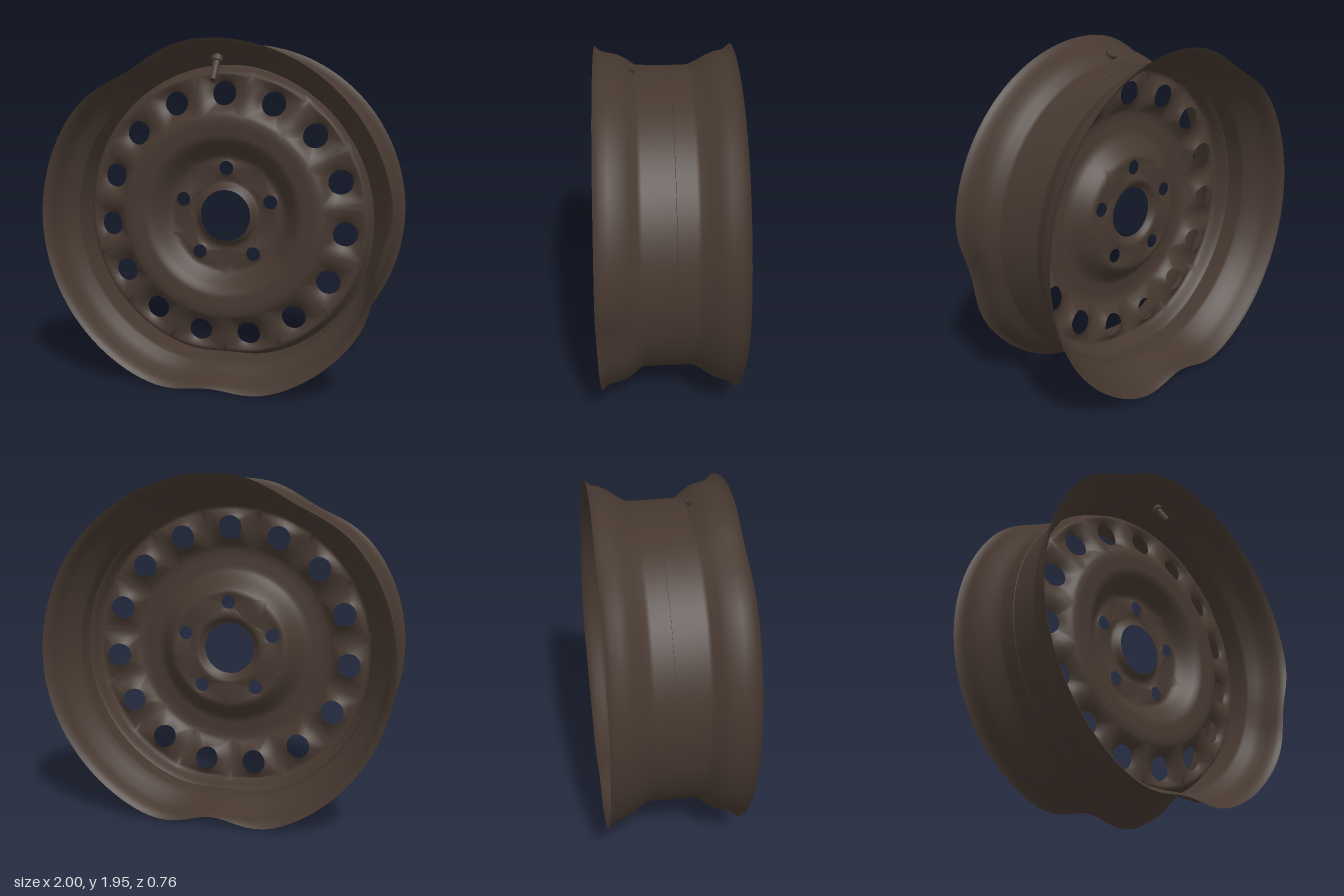
import * as THREE from 'three';
import { mergeGeometries, mergeVertices } from 'three/addons/utils/BufferGeometryUtils.js';

const AXLE = 0.965;          // height of the wheel centre
const BARREL = 0.87;         // radius of the drop centre
const SEG = 120;
const TAU = Math.PI * 2;
const rad = THREE.MathUtils.degToRad;

// Bell-shaped falloff around an angle given in degrees
function bell(angle, centre, sigma) {
  let d = angle - rad(centre);
  d = Math.atan2(Math.sin(d), Math.cos(d)) / rad(sigma);
  return Math.exp(-d * d / 2);
}

// Impact dents: bottom, upper left, and the front lip on one side
function dent(p) {
  const r = Math.hypot(p.x, p.y), a = Math.atan2(p.y, p.x);
  const lip = THREE.MathUtils.clamp((r - BARREL) / 0.13, 0, 1);
  const front = THREE.MathUtils.smoothstep(p.z, -0.2, 0.3);
  const bottom = bell(a, -90, 9);
  let d = 0.028 * bottom * Math.min(1, (r / BARREL) ** 8);
  d += lip * bottom * THREE.MathUtils.lerp(0.075, 0.038, front);
  d += lip * bell(a, 119, 10) * THREE.MathUtils.lerp(0.045, 0.055, front);
  d += lip * front * bell(a, -13, 9) * 0.06;
  p.z += Math.sign(p.z) * lip * 0.01 * bell(a, -10, 18);
  const k = (r - d) / r;
  p.x *= k;
  p.y *= k;
}

function finish(geometry) {
  geometry.deleteAttribute('uv');
  geometry.deleteAttribute('normal');
  const g = mergeVertices(geometry, 1e-4);
  const pos = g.attributes.position, p = new THREE.Vector3();
  for (let i = 0; i < pos.count; i++) {
    p.fromBufferAttribute(pos, i);
    dent(p);
    pos.setXYZ(i, p.x, p.y, p.z);
  }
  g.computeVertexNormals();
  return g;
}

// Pressed cross-section of the disc: radius, depth
const PRESSING = [
  [0.15, 0.035], [0.19, 0.0], [0.32, 0.0], [0.47, 0.115], [0.55, 0.12],
  [0.71, 0.075], [0.82, 0.06], [0.87, -0.03],
];
function discDepth(r) {
  for (let i = 1; i < PRESSING.length; i++) {
    const [r0, z0] = PRESSING[i - 1], [r1, z1] = PRESSING[i];
    if (r <= r1) return THREE.MathUtils.lerp(z0, z1, THREE.MathUtils.smoothstep(r, r0, r1));
  }
  return PRESSING.at(-1)[1];
}

// Closed band of quads; point(s, i) returns [x, y, z]
function band(rows, count, point) {
  const pos = [], index = [];
  for (let s = 0; s <= rows; s++)
    for (let i = 0; i < count; i++) pos.push(...point(s / rows, i));
  for (let s = 0; s < rows; s++)
    for (let i = 0; i < count; i++) {
      const j = (i + 1) % count, a = s * count, b = a + count;
      index.push(a + i, b + i, b + j, a + i, b + j, a + j);
    }
  const g = new THREE.BufferGeometry();
  g.setAttribute('position', new THREE.Float32BufferAttribute(pos, 3));
  g.setIndex(index);
  return g;
}

function ring(r0, r1, rows) {
  return band(rows, SEG, (s, i) => {
    const r = r0 + (r1 - r0) * s, a = TAU * i / SEG;
    return [r * Math.cos(a), r * Math.sin(a), discDepth(r)];
  });
}

// Sectors of a ring, each pierced by one round hole with a pushed rim
function piercedRing(r0, r1, n, holeR, holeAt, push) {
  const arc = SEG / n, side = 4, parts = [], half = Math.PI / n;
  const border = [];
  for (let i = 0; i < side; i++) border.push([r0 + (r1 - r0) * i / side, half * -1]);
  for (let i = 0; i < arc; i++) border.push([r1, -half + 2 * half * i / arc]);
  for (let i = 0; i < side; i++) border.push([r1 + (r0 - r1) * i / side, half]);
  for (let i = 0; i < arc; i++) border.push([r0, half - 2 * half * i / arc]);
  for (let k = 0; k < n; k++) {
    const turn = Math.PI / 2 + TAU * k / n;
    const c = Math.cos(turn), sn = Math.sin(turn);
    parts.push(band(6, border.length, (s, i) => {
      const [br, ba] = border[i];
      const bx = br * Math.cos(ba), by = br * Math.sin(ba);
      const t = Math.atan2(by, bx - holeAt);
      const x = THREE.MathUtils.lerp(holeAt + holeR * Math.cos(t), bx, s);
      const y = THREE.MathUtils.lerp(holeR * Math.sin(t), by, s);
      const z = discDepth(Math.hypot(x, y)) + push * (1 - s) ** 2;
      return [x * c - y * sn, x * sn + y * c, z];
    }));
  }
  return parts;
}

export function createModel() {
  const steel = new THREE.MeshStandardMaterial({ color: 0x463830, side: THREE.DoubleSide });
  steel.name = 'dark brown steel';
  const wheel = new THREE.Group();
  wheel.name = 'dentedWheel';
  wheel.position.y = AXLE;
  const add = (name, geometry, parent = wheel) => {
    const m = new THREE.Mesh(geometry, steel);
    m.name = name;
    parent.add(m);
    return m;
  };

  // Rim barrel with flared lips
  const profile = [
    [1.0, -0.372], [0.985, -0.36], [0.965, -0.335], [0.955, -0.29], [0.935, -0.245],
    [0.9, -0.195], [0.873, -0.15], [0.868, -0.13], [0.868, 0], [0.872, 0.14],
    [0.88, 0.16], [0.915, 0.2], [0.943, 0.245], [0.957, 0.3], [0.968, 0.338],
    [0.985, 0.36], [1.0, 0.372],
  ].map(([r, z]) => new THREE.Vector2(r, z));
  add('rim', finish(new THREE.LatheGeometry(profile, SEG).rotateX(Math.PI / 2)));

  // Pressed disc: hub collar, lug holes, dish, vent holes and outer flange
  add('disc', finish(mergeGeometries([
    ring(0.15, 0.2, 4),
    ...piercedRing(0.2, 0.36, 5, 0.041, 0.277, 0.012),
    ring(0.36, 0.58, 10),
    ...piercedRing(0.58, 0.83, 15, 0.069, 0.708, -0.03),
    ring(0.83, 0.87, 4),
  ])));

  // Valve stem passing through the barrel
  const valve = new THREE.Group();
  valve.name = 'valve';
  valve.position.set(0, 0.865, 0.215);
  valve.rotation.x = -rad(35);
  wheel.add(valve);
  add('valveStem', new THREE.CylinderGeometry(0.022, 0.018, 0.13, 12), valve).position.y = -0.04;
  add('valveBase', new THREE.CylinderGeometry(0.033, 0.033, 0.05, 12), valve).position.y = 0.04;

  const model = new THREE.Group();
  model.name = 'wheelModel';
  model.add(wheel);
  return model;
}
